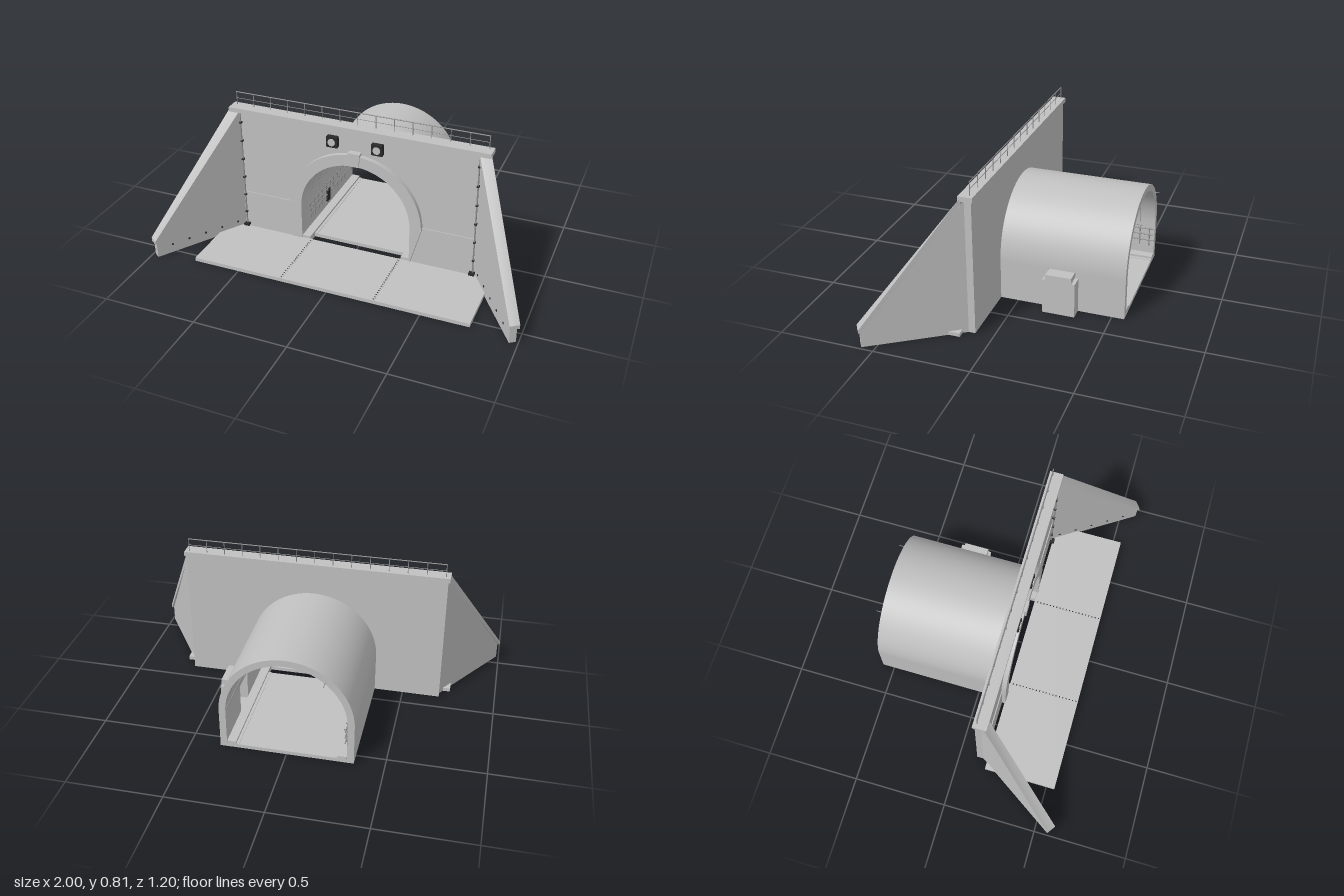
import * as THREE from 'three';
import { toCreasedNormals } from 'three/addons/utils/BufferGeometryUtils.js';

const concrete = new THREE.MeshStandardMaterial({ color: 0xc0c0c0 });
concrete.name = 'concrete';
const metal = new THREE.MeshStandardMaterial({ color: 0x909090 });
metal.name = 'metal';
const dark = new THREE.MeshStandardMaterial({ color: 0x2a2a2a });
dark.name = 'dark';

const SPRING = 0.22; // height where the vault starts to curve
const BACK = -0.565, WALL_BACK = 0.095, WALL_FRONT = 0.135;

function add(parent, name, geometry, material = concrete) {
  const mesh = new THREE.Mesh(geometry, material);
  mesh.name = name;
  parent.add(mesh);
  return mesh;
}

// Box given by its limits on each axis
function block(parent, name, x0, x1, y0, y1, z0, z1, material) {
  const g = new THREE.BoxGeometry(x1 - x0, y1 - y0, z1 - z0);
  g.translate((x0 + x1) / 2, (y0 + y1) / 2, (z0 + z1) / 2);
  return add(parent, name, g, material);
}

function rod(parent, name, a, b, r, material = metal) {
  const from = new THREE.Vector3(...a), to = new THREE.Vector3(...b);
  const mesh = add(parent, name, new THREE.CylinderGeometry(r, r, from.distanceTo(to), 8), material);
  mesh.position.copy(from).add(to).multiplyScalar(0.5);
  mesh.quaternion.setFromUnitVectors(new THREE.Vector3(0, 1, 0), to.sub(from).normalize());
  return mesh;
}

function extrude(parent, name, shape, z0, z1, material) {
  const g = new THREE.ExtrudeGeometry(shape, { depth: z1 - z0, bevelEnabled: false, curveSegments: 40 });
  g.translate(0, 0, z0);
  return add(parent, name, toCreasedNormals(g, 0.5), material);
}

// Horseshoe band between two radii, with straight legs down to base
function archBand(inner, outer, base) {
  const s = new THREE.Shape();
  s.moveTo(outer, base);
  s.absarc(0, SPRING, outer, 0, Math.PI, false);
  if (base < SPRING) s.lineTo(-outer, base).lineTo(-inner, base);
  s.absarc(0, SPRING, inner, Math.PI, 0, true);
  if (base < SPRING) s.lineTo(inner, base);
  return s;
}

// Sloping wall: plan corners [x, z] and top / bottom heights at start and end
function slopedWall(parent, name, side, plan, bottom, top) {
  const g = new THREE.BoxGeometry(1, 1, 1), p = g.attributes.position;
  for (let i = 0; i < p.count; i++) {
    const outer = p.getX(i) * side > 0 ? 1 : 0, end = p.getZ(i) > 0 ? 1 : 0;
    const [x, z] = plan[end][outer];
    p.setXYZ(i, x * side, (p.getY(i) > 0 ? top : bottom)[end], z);
  }
  g.computeVertexNormals();
  return add(parent, name, g);
}

export function createModel() {
  const model = new THREE.Group();
  model.name = 'tunnelPortal';

  // Headwall with arched opening
  const wall = new THREE.Shape();
  wall.moveTo(0.31, 0).lineTo(0.7, 0).lineTo(0.7, 0.72).lineTo(-0.7, 0.72).lineTo(-0.7, 0).lineTo(-0.31, 0);
  wall.absarc(0, SPRING, 0.31, Math.PI, 0, true);
  extrude(model, 'headwall', wall, WALL_BACK, WALL_FRONT);
  block(model, 'headwallCap', -0.71, 0.71, 0.715, 0.74, 0.085, 0.158);

  // Arch surround and keystone
  extrude(model, 'archSurround', archBand(0.308, 0.37, 0), WALL_BACK + 0.01, 0.16);
  const key = new THREE.Shape();
  key.moveTo(-0.027, 0.53).lineTo(0.027, 0.53).lineTo(0.033, 0.605).lineTo(-0.033, 0.605);
  extrude(model, 'keystone', key, 0.12, 0.168);

  // Tunnel vault and its straight side walls (the left wall is open at the recess)
  extrude(model, 'tunnelVault', archBand(0.31, 0.345, SPRING), BACK, WALL_BACK);
  block(model, 'tunnelRightWall', -0.345, -0.31, 0, SPRING, BACK, WALL_BACK);
  block(model, 'tunnelLeftWallRear', 0.31, 0.345, 0, SPRING, BACK, -0.305);
  block(model, 'tunnelLeftWallFront', 0.31, 0.345, 0, SPRING, -0.165, WALL_BACK);
  block(model, 'tunnelFloor', -0.31, 0.31, 0, 0.02, BACK, WALL_BACK);

  // Recess in the left wall
  const recess = new THREE.Group();
  recess.name = 'recess';
  model.add(recess);
  block(recess, 'recessFloor', 0.31, 0.4, 0, 0.02, -0.305, -0.165);
  block(recess, 'recessBack', 0.395, 0.41, 0, 0.2, -0.305, -0.165);
  block(recess, 'recessRoof', 0.31, 0.41, 0.19, 0.22, -0.303, -0.168);
  block(recess, 'recessSideFront', 0.34, 0.41, 0, 0.19, -0.165, -0.152);
  block(recess, 'recessSideRear', 0.34, 0.41, 0, 0.19, -0.322, -0.305);

  // Apron slab
  block(model, 'apron', -0.755, 0.755, 0, 0.02, 0.155, 0.545);

  for (const s of [-1, 1]) {
    const span = (a, b) => [Math.min(a * s, b * s), Math.max(a * s, b * s)];
    // Kerbs and drain strips
    block(model, 'kerb', ...span(0.262, 0.309), 0, 0.035, BACK, 0.155);
    block(model, 'drainTunnel', ...span(0.247, 0.262), 0.018, 0.023, BACK, WALL_BACK);
    block(model, 'drainApron', ...span(0.247, 0.262), 0.018, 0.022, 0.155, 0.545);
    for (let i = 0; i < 20; i++) {
      const z = 0.17 + i * 0.019;
      block(model, 'drainSlot', ...span(0.251, 0.258), 0.021, 0.0225, z, z + 0.006, dark);
    }

    // Thicker base course of the headwall
    block(model, 'baseCourse', ...span(0.36, 0.67), 0, 0.23, 0.13, 0.14);

    // Wing wall and its coping
    slopedWall(model, 'wingWall', s,
      [[[0.655, 0.13], [0.7, 0.13]], [[0.958, 0.588], [0.987, 0.567]]], [0, 0], [0.715, 0.087]);
    slopedWall(model, 'wingCoping', s,
      [[[0.647, 0.145], [0.708, 0.145]], [[0.957, 0.599], [1, 0.568]]], [0.69, 0.082], [0.733, 0.104]);

    // Weep holes on the inner wing face
    for (let i = 0; i < 5; i++) {
      const t = 0.12 + i * 0.18;
      const hole = add(model, 'weepHole', new THREE.BoxGeometry(0.006, 0.01, 0.01), dark);
      hole.position.set(s * (0.655 + 0.303 * t), 0.05, 0.13 + 0.458 * t);
      hole.rotation.y = s * Math.atan2(0.303, 0.458);
    }

    // Corner downpipe with brackets and outlet
    rod(model, 'downpipe', [s * 0.652, 0.03, 0.146], [s * 0.652, 0.715, 0.146], 0.004);
    for (let i = 0; i < 6; i++) {
      const y = 0.1 + i * 0.11;
      block(model, 'pipeBracket', ...span(0.646, 0.658), y, y + 0.008, 0.136, 0.152, dark);
    }
    block(model, 'pipeOutlet', ...span(0.635, 0.665), 0.02, 0.033, 0.138, 0.165, dark);

    // Signal lamp above the arch
    const lamp = new THREE.Group();
    lamp.name = 'signalLamp';
    lamp.position.set(s * 0.123, 0.645, 0);
    model.add(lamp);
    block(lamp, 'lampHousing', -0.03, 0.03, -0.03, 0.03, 0.13, 0.16, dark);
    const lens = add(lamp, 'lampLens', new THREE.CylinderGeometry(0.02, 0.02, 0.006, 24));
    lens.rotation.x = Math.PI / 2;
    lens.position.z = 0.162;

    // Lighting line under the vault
    rod(model, 'lightingCable', [s * 0.195, 0.465, -0.6], [s * 0.195, 0.465, 0.09], 0.002);
    for (let i = 0; i < 7; i++) {
      const light = add(model, 'ceilingLight', new THREE.BoxGeometry(0.025, 0.012, 0.05), metal);
      light.position.set(s * 0.194, 0.458, -0.51 + i * 0.09);
      light.rotation.z = -s * 0.68;
    }
  }

  // Joint rings on the vault lining
  for (let i = 0; i < 6; i++) {
    const ring = add(model, 'liningJoint', new THREE.TorusGeometry(0.31, 0.0015, 4, 40, Math.PI), metal);
    ring.position.set(0, SPRING, -0.48 + i * 0.1);
  }

  // Cable shelves on the right wall, handrail on the left wall
  for (let i = 0; i < 12; i++) {
    const z = -0.54 + i * 0.053;
    block(model, 'shelfPost', -0.311, -0.305, 0.08, 0.19, z, z + 0.006, metal);
    for (let j = 0; j < 3; j++)
      block(model, 'shelfArm', -0.306, -0.288 - j * 0.005, 0.18 - j * 0.035, 0.185 - j * 0.035, z, z + 0.006, metal);
  }
  for (let j = 0; j < 3; j++)
    rod(model, 'wallCable', [-0.299, 0.188 - j * 0.035, BACK], [-0.299, 0.188 - j * 0.035, 0.09], 0.003);
  rod(model, 'wallHandrail', [0.304, 0.235, BACK], [0.304, 0.235, 0.09], 0.004);
  block(model, 'wallCabinet', -0.311, -0.296, 0.07, 0.145, -0.2, -0.165, dark);

  // Railing on the cap
  const railing = new THREE.Group();
  railing.name = 'railing';
  model.add(railing);
  for (let i = 0; i < 15; i++) {
    const x = -0.686 + i * 0.098;
    rod(railing, 'railingPost', [x, 0.735, 0.105], [x, 0.81, 0.105], 0.0022);
  }
  for (const y of [0.775, 0.81])
    rod(railing, 'railingBar', [-0.688, y, 0.105], [0.688, y, 0.105], y > 0.8 ? 0.0028 : 0.0016);

  return model;
}
